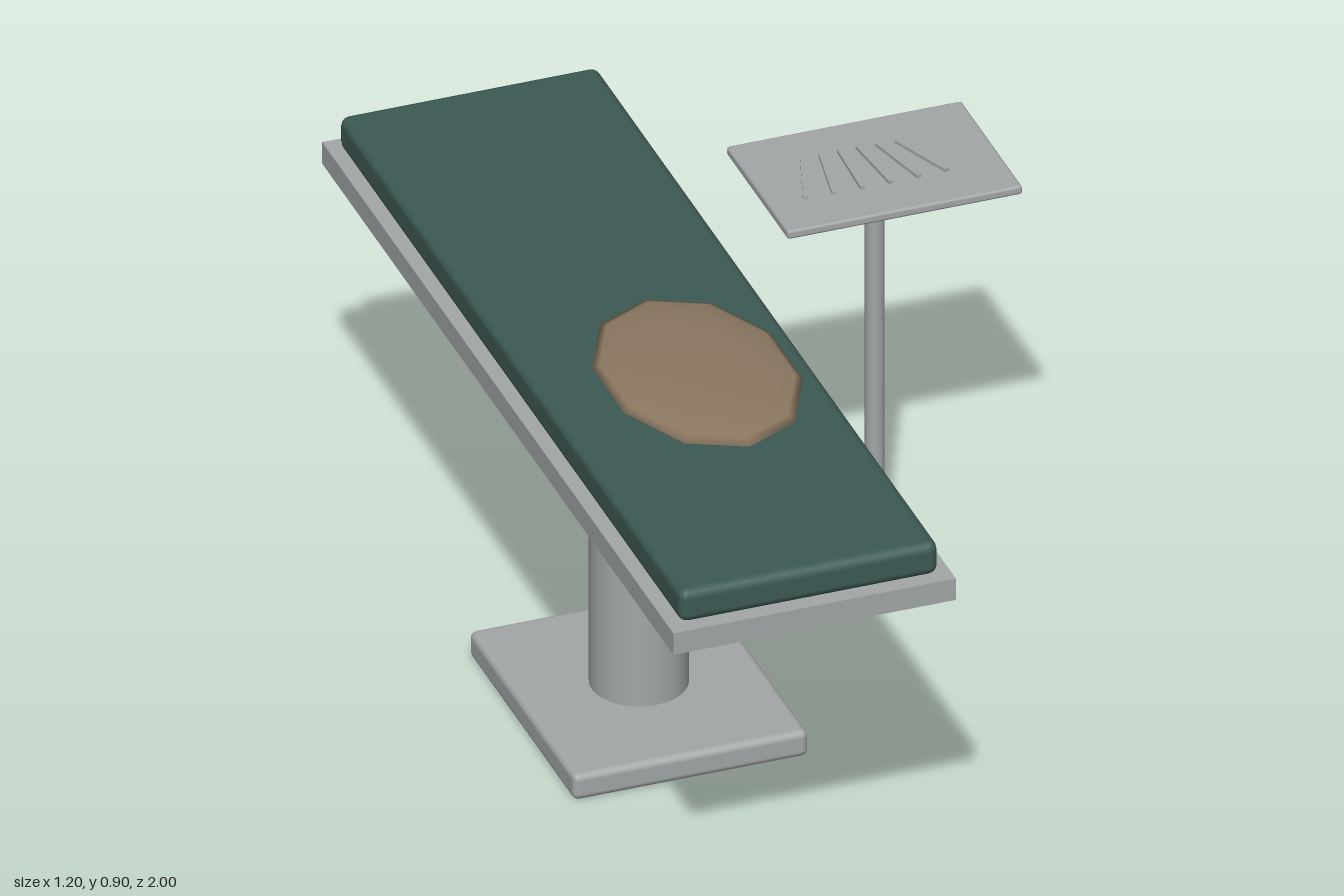
import * as THREE from 'three';
import { RoundedBoxGeometry } from 'three/addons/geometries/RoundedBoxGeometry.js';

export function createModel() {
  const group = new THREE.Group();
  const material = (name, color) => {
    const m = new THREE.MeshStandardMaterial({ color });
    m.name = name;
    return m;
  };
  const steel = material('steel', 0xa3a7a7);
  const green = material('green padding', 0x3d5a54);
  const tan = material('tan', 0x8b7861);

  const add = (name, geometry, mat, x, y, z, parent = group) => {
    const mesh = new THREE.Mesh(geometry, mat);
    mesh.name = name;
    mesh.position.set(x, y, z);
    parent.add(mesh);
    return mesh;
  };

  // Table: foot, column, top and pad
  add('foot', new RoundedBoxGeometry(0.5, 0.06, 0.6, 2, 0.015), steel, -0.3, 0.03, 0);
  add('column', new THREE.CylinderGeometry(0.1, 0.1, 0.7, 32), steel, -0.3, 0.41, 0);
  add('tableTop', new THREE.BoxGeometry(0.6, 0.05, 2), steel, -0.3, 0.782, 0);
  add('pad', new RoundedBoxGeometry(0.55, 0.075, 1.95, 2, 0.02), green, -0.3, 0.843, 0);

  // Shallow ten-sided dome on the pad, with corners at its long ends
  const dome = new THREE.SphereGeometry(1, 10, 8);
  dome.rotateY(Math.PI / 2);
  dome.scale(0.2, 0.025, 0.3);
  add('dome', dome, tan, -0.25, 0.88, 0.2);

  // Side stand with a tray
  const stand = new THREE.Group();
  stand.name = 'trayStand';
  stand.position.set(0.35, 0, -0.4);
  group.add(stand);
  add('pole', new THREE.CylinderGeometry(0.02, 0.02, 0.85, 12), steel, 0, 0.45, 0, stand);
  add('tray', new RoundedBoxGeometry(0.5, 0.02, 0.35, 1, 0.006), steel, 0, 0.882, 0, stand);

  // Fanned row of instruments
  const bar = new THREE.BoxGeometry(0.01, 0.008, 0.15);
  for (let i = 0; i < 6; i++) {
    const instrument = add('instrument' + (i + 1), bar, steel, -0.15 + i * 0.05, 0.895, 0, stand);
    instrument.rotation.y = -0.32 + i * 0.14;
  }
  return group;
}
